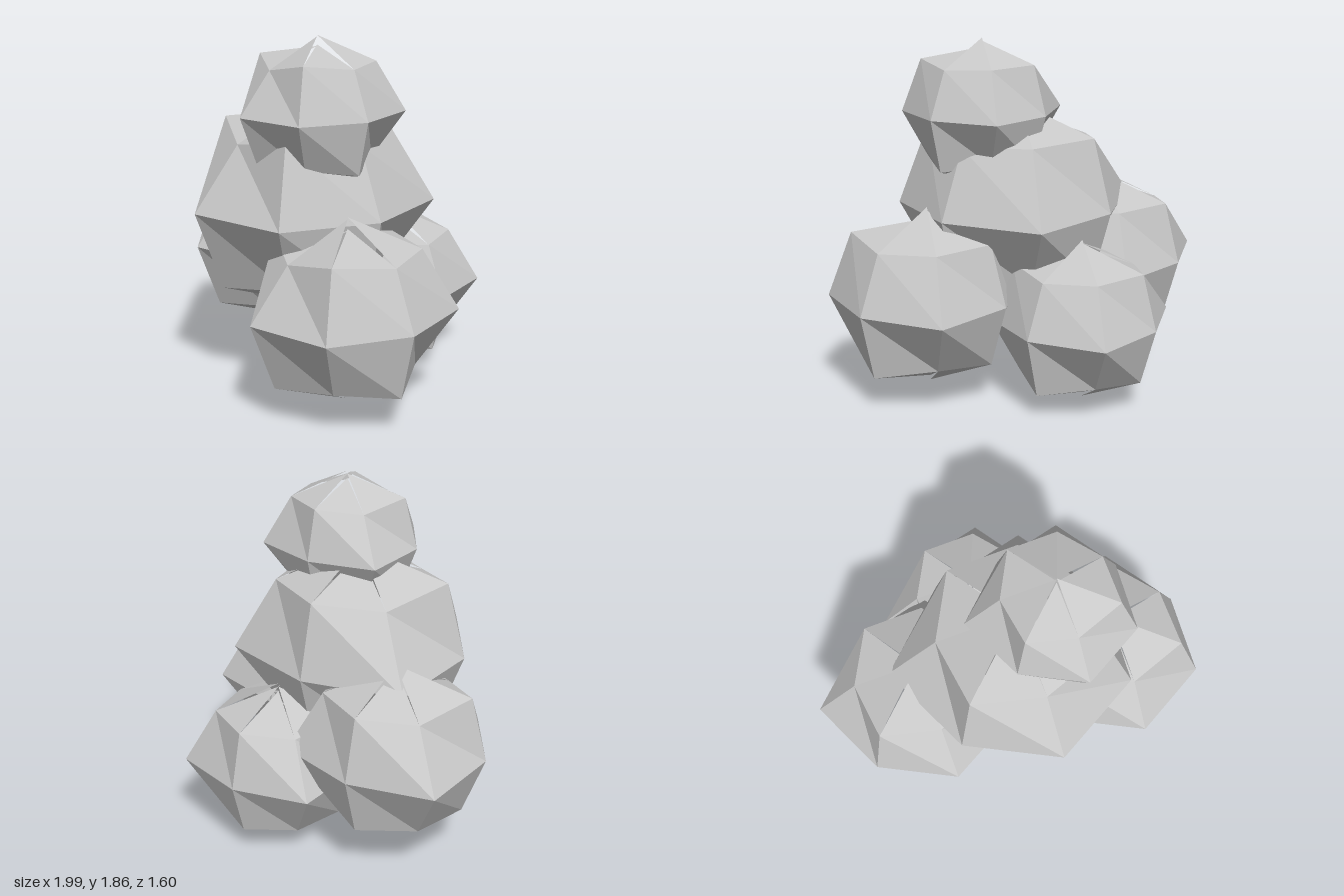
import * as THREE from 'three';

const SIDES = 7;
// horizontal radius at each of the seven corners of a ring
const UPPER = [0.355, 0.4, 0.328, 0.4, 0.34, 0.38, 0.37];
const MIDDLE = [0.485, 0.53, 0.53, 0.487, 0.563, 0.464, 0.56];
const LOWER = [0.404, 0.36, 0.404, 0.371, 0.36, 0.375, 0.345];
// height of each wedge's own tip, so the poles are jagged and split
const TOP_TIPS = [0.42, 0.47, 0.41, 0.46, 0.43, 0.46, 0.48];
const BOTTOM_TIPS = [0.445, 0.48, 0.43, 0.47, 0.44, 0.475, 0.45];
const SLOPE = 1 / 1.165; // ring height per unit of ring radius

function boulderGeometry() {
  const positions = [];
  const corner = (radii, rise, i) => {
    const k = i % SIDES;
    const a = (k / SIDES) * Math.PI * 2;
    return [Math.cos(a) * radii[k], rise * radii[k], Math.sin(a) * radii[k]];
  };
  const tri = (a, b, c) => positions.push(...a, ...b, ...c);
  for (let i = 0; i < SIDES; i++) {
    const u0 = corner(UPPER, SLOPE, i), u1 = corner(UPPER, SLOPE, i + 1);
    const m0 = corner(MIDDLE, 0, i), m1 = corner(MIDDLE, 0, i + 1);
    const l0 = corner(LOWER, -SLOPE, i), l1 = corner(LOWER, -SLOPE, i + 1);
    tri([0, TOP_TIPS[i], 0], u1, u0);
    tri(u0, u1, m0);
    tri(u1, m1, m0);
    tri(m0, m1, l0);
    tri(m1, l1, l0);
    tri([0, -BOTTOM_TIPS[i], 0], l0, l1);
  }
  const geometry = new THREE.BufferGeometry();
  geometry.setAttribute('position', new THREE.Float32BufferAttribute(positions, 3));
  geometry.computeVertexNormals();
  return geometry;
}

export function createModel() {
  const group = new THREE.Group();
  group.name = 'boulderPile';
  const stone = new THREE.MeshStandardMaterial({ color: 0xc8c8c8, flatShading: true });
  stone.name = 'stone grey';
  const geometry = boulderGeometry();

  // name, centre, size
  const boulders = [
    ['frontBoulder', [0.51, 0.547, 0.28], 1],
    ['sideBoulder', [-0.49, 0.632, -0.1], 1],
    ['backBoulder', [0.07, 0.447, -0.4], 0.9],
    ['middleBoulder', [-0.01, 0.98, 0.115], 1.2],
    ['topBoulder', [0.17, 1.495, 0.193], 0.8],
  ];
  for (const [name, centre, size] of boulders) {
    const boulder = new THREE.Mesh(geometry, stone);
    boulder.name = name;
    boulder.position.set(...centre);
    boulder.scale.setScalar(size);
    group.add(boulder);
  }
  return group;
}
